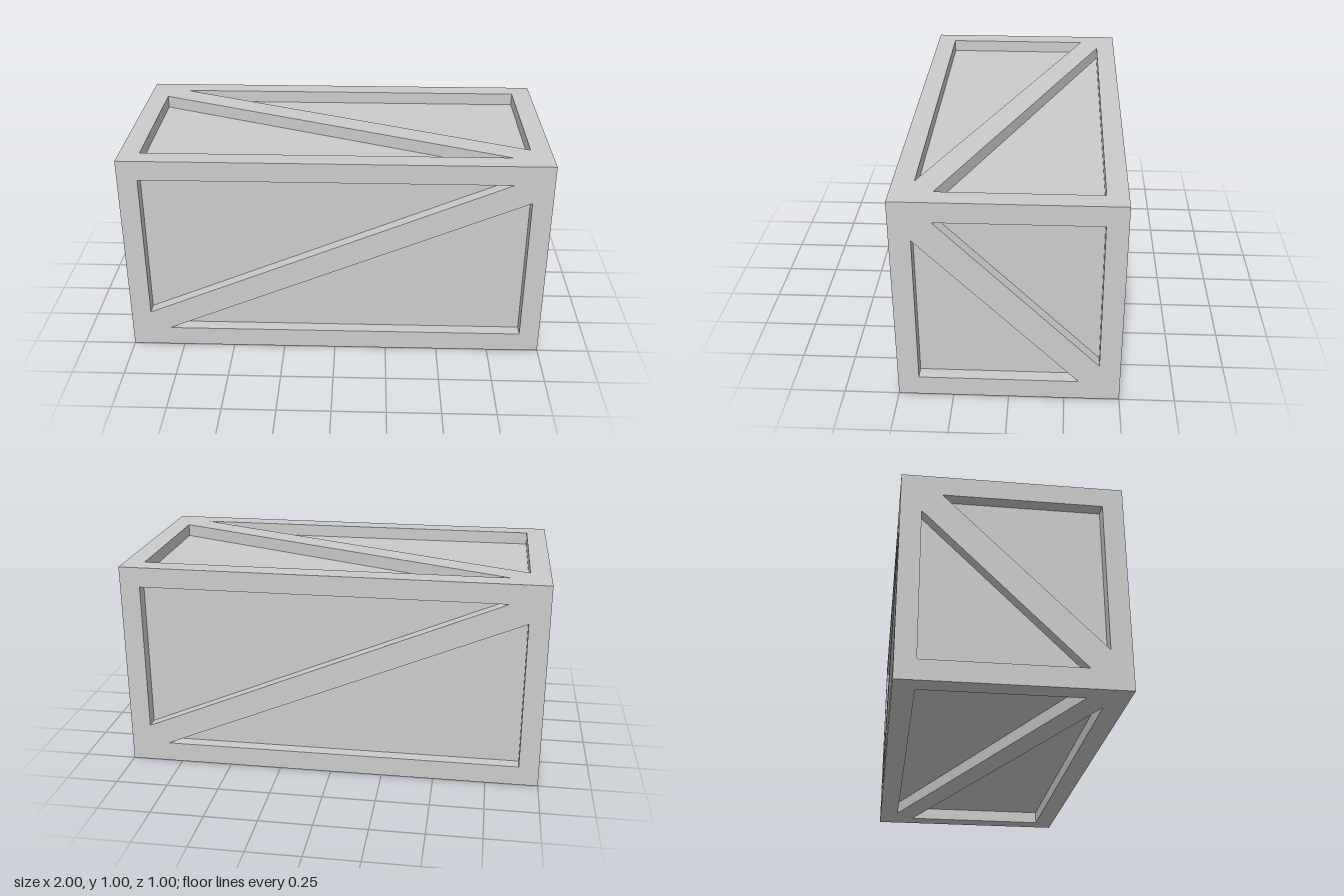
import * as THREE from 'three';

const W = 2, H = 1, D = 1;   // crate size
const BORDER = 0.095;        // frame width around each side
const GAP = 0.09;            // how far each pocket stops short of the far corner
const DEPTH = 0.06;          // pocket depth

// Two triangular pockets either side of a diagonal brace, corners counter-clockwise.
// dir = 1: brace rises to the right; dir = -1: brace falls to the right.
function pocketCorners(w, h, dir) {
  const x = w / 2 - BORDER, y = h / 2 - BORDER;
  const tri = [[-x, y], [-x, -y + GAP], [x - GAP, y]].map(([a, b]) => new THREE.Vector2(a * dir, b));
  if (dir < 0) tri.reverse();
  return [tri, tri.map((p) => p.clone().negate())];
}

// Sunken pocket: inward-facing walls and a floor
function pocketGeometry(tri) {
  const pos = [];
  const add = (p, z) => pos.push(p.x, p.y, z);
  tri.forEach((a, i) => {
    const b = tri[(i + 1) % tri.length];
    add(a, 0); add(b, 0); add(b, -DEPTH);
    add(a, 0); add(b, -DEPTH); add(a, -DEPTH);
  });
  tri.forEach((p) => add(p, -DEPTH));
  const geo = new THREE.BufferGeometry();
  geo.setAttribute('position', new THREE.Float32BufferAttribute(pos, 3));
  geo.computeVertexNormals();
  return geo;
}

// One side of the crate, facing +z, pushed out to the given distance
function makePanel(name, w, h, dir, out, material) {
  const panel = new THREE.Group();
  panel.name = name;
  const shape = new THREE.Shape([[-1, -1], [1, -1], [1, 1], [-1, 1]]
    .map(([x, y]) => new THREE.Vector2(x * w / 2, y * h / 2)));
  const pockets = pocketCorners(w, h, dir);
  pockets.forEach((tri) => shape.holes.push(new THREE.Path([...tri].reverse())));

  const frame = new THREE.Mesh(new THREE.ShapeGeometry(shape), material);
  frame.name = name + 'Frame';
  panel.add(frame);
  pockets.forEach((tri, i) => {
    const pocket = new THREE.Mesh(pocketGeometry(tri), material);
    pocket.name = name + 'Pocket' + (i + 1);
    panel.add(pocket);
  });
  panel.children.forEach((mesh) => { mesh.position.z = out; });
  return panel;
}

export function createModel() {
  const crate = new THREE.Group();
  crate.name = 'crate';
  const material = new THREE.MeshStandardMaterial({ color: 0xcccccc, flatShading: true });
  const q = Math.PI / 2;

  // name, width, height, brace direction, distance from centre, rotation x, rotation y
  const sides = [
    ['front', W, H, 1, D / 2, 0, 0],
    ['back', W, H, 1, D / 2, 0, 2 * q],
    ['leftSide', D, H, -1, W / 2, 0, q],
    ['rightSide', D, H, -1, W / 2, 0, -q],
    ['top', W, D, -1, H / 2, -q, 0],
    ['bottom', W, D, -1, H / 2, q, 0],
  ];
  for (const [name, w, h, dir, out, rx, ry] of sides) {
    const panel = makePanel(name, w, h, dir, out, material);
    panel.rotation.set(rx, ry, 0);
    panel.position.y = H / 2;
    crate.add(panel);
  }
  return crate;
}
